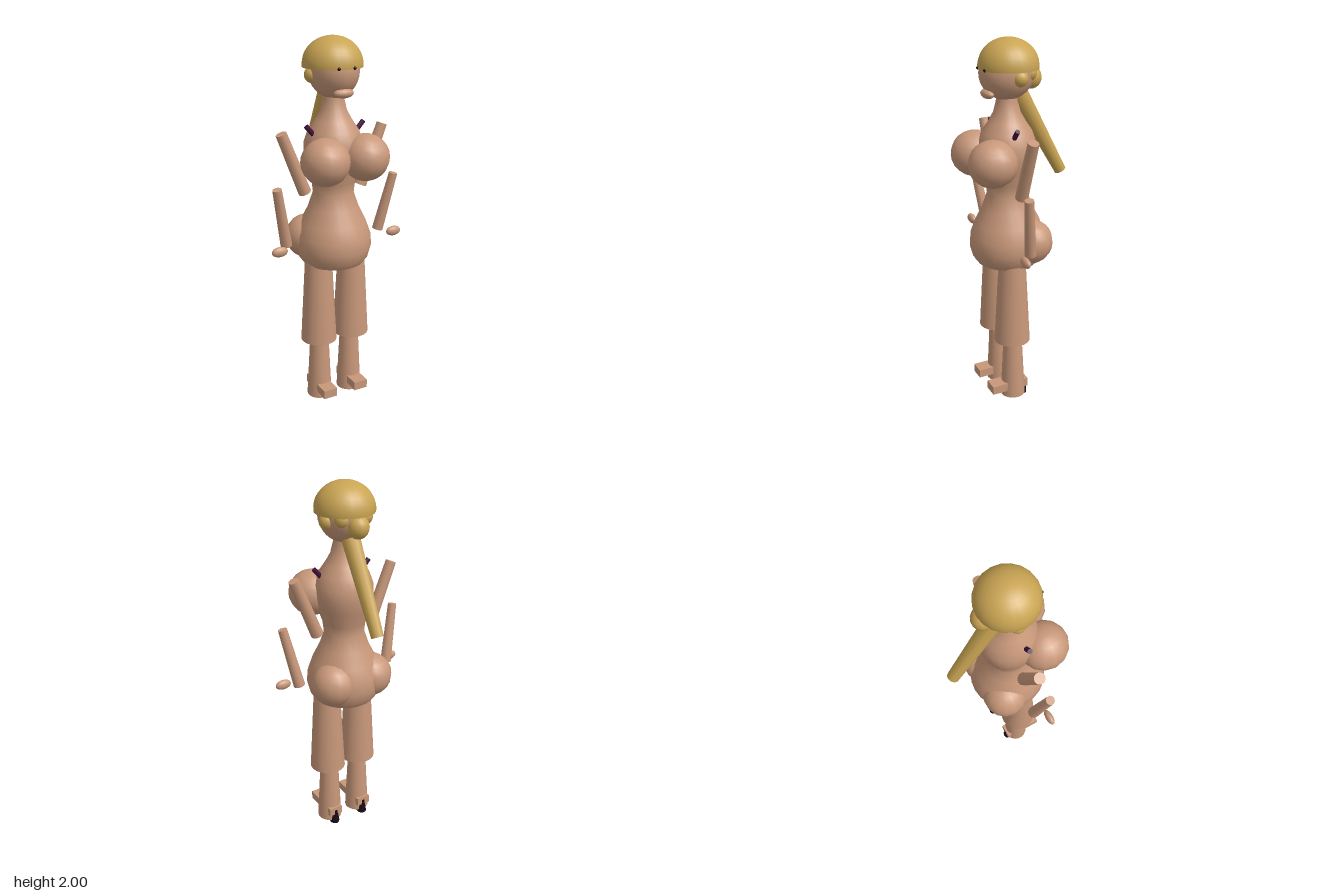
import * as THREE from 'three';

const mat = (color) => new THREE.MeshStandardMaterial({ color });

export function createModel() {
  const model = new THREE.Group();
  const skin = mat(0xc8987a), hair = mat(0xc9a453), purple = mat(0x42103c), dark = mat(0x180a16);

  function add(name, geometry, material) {
    const mesh = new THREE.Mesh(geometry, material);
    mesh.name = name;
    model.add(mesh);
    return mesh;
  }
  function ball(name, [x, y, z], [rx, ry, rz], material, seg = 14, rings = 12) {
    const mesh = add(name, new THREE.SphereGeometry(1, seg, rings), material);
    mesh.position.set(x, y, z);
    mesh.scale.set(rx, ry, rz);
    return mesh;
  }
  // Tapered cylinder running from point a (radius ra) to point b (radius rb)
  function limb(name, a, b, ra, rb, material, seg = 12) {
    const from = new THREE.Vector3(...a), to = new THREE.Vector3(...b);
    const axis = from.clone().sub(to);
    const mesh = add(name, new THREE.CylinderGeometry(ra, rb, axis.length(), seg), material);
    mesh.position.copy(from).add(to).multiplyScalar(0.5);
    mesh.quaternion.setFromUnitVectors(new THREE.Vector3(0, 1, 0), axis.normalize());
    return mesh;
  }

  // Torso from pelvis to neck, turned from one profile
  const profile = [
    [0.165, 0.815], [0.19, 0.85], [0.205, 0.905], [0.2, 0.97], [0.175, 1.04], [0.135, 1.12],
    [0.108, 1.2], [0.115, 1.26], [0.142, 1.34], [0.156, 1.41], [0.153, 1.47], [0.132, 1.53],
    [0.098, 1.58], [0.07, 1.63], [0.055, 1.69], [0.053, 1.76],
  ].map(([r, y]) => new THREE.Vector2(r, y));
  const torso = add('torso', new THREE.LatheGeometry(profile, 24), skin);
  torso.position.z = 0.045;
  const base = add('torsoBase', new THREE.CircleGeometry(0.165, 24), skin);
  base.rotation.x = Math.PI / 2;
  base.position.set(0, 0.815, 0.045);

  // Head, mouth and hair
  ball('head', [0, 1.83, 0.045], [0.128, 0.14, 0.145], skin, 24, 16);
  ball('lips', [0, 1.73, 0.152], [0.055, 0.025, 0.03], skin);
  const cap = add('hairCap', new THREE.SphereGeometry(1, 20, 10, 0, Math.PI * 2, 0, Math.PI * 0.53), hair);
  cap.scale.set(0.156, 0.14, 0.156);
  cap.position.set(0, 1.86, 0.035);
  const capBase = add('hairCapBase', new THREE.CircleGeometry(0.155, 20), hair);
  capBase.rotation.x = Math.PI / 2;
  capBase.position.set(0, 1.847, 0.035);
  ball('backBun', [0, 1.795, -0.09], [0.056, 0.06, 0.056], hair);
  limb('ponytail', [0, 1.75, -0.005], [0, 1.28, -0.272], 0.05, 0.033, hair, 10);

  // Mirrored parts
  for (const s of [1, -1]) {
    const side = s > 0 ? 'left' : 'right';
    ball(side + 'Eye', [s * 0.043, 1.853, 0.182], [0.009, 0.009, 0.009], dark, 8, 6);
    ball(side + 'SideCurl', [s * 0.108, 1.812, 0.024], [0.042, 0.042, 0.042], hair);
    ball(side + 'BackCurl', [s * 0.065, 1.83, -0.045], [0.042, 0.042, 0.042], hair);

    ball(side + 'Chest', [s * 0.115, 1.4, 0.177], [0.126, 0.122, 0.128], skin);
    ball(side + 'Hip', [s * 0.115, 0.945, -0.036], [0.12, 0.12, 0.12], skin);
    limb(side + 'Strap', [s * 0.165, 1.565, 0.065], [s * 0.09, 1.48, 0.065], 0.013, 0.013, purple, 8);

    // Arm
    limb(side + 'UpperArm', [s * 0.293, 1.535, 0.043], [s * 0.165, 1.215, 0.043], 0.029, 0.034, skin, 10);
    limb(side + 'Forearm', [s * 0.343, 1.267, 0.09], [s * 0.278, 0.945, 0.047], 0.024, 0.031, skin, 10);
    ball(side + 'Hand', [s * 0.343, 0.94, 0.108], [0.045, 0.027, 0.02], skin);

    // Leg and shoe
    limb(side + 'Thigh', [s * 0.1, 0.83, 0.065], [s * 0.1, 0.37, 0.066], 0.074, 0.099, skin, 20);
    limb(side + 'Shin', [s * 0.094, 0.4, 0.06], [s * 0.095, 0.015, 0.06], 0.05, 0.069, skin, 18);
    const foot = add(side + 'Foot', new THREE.BoxGeometry(0.08, 0.048, 0.216), skin);
    foot.position.set(s * 0.096, 0.079, 0.092);
    limb(side + 'Heel', [s * 0.095, 0.085, -0.008], [s * 0.095, 0, 0.004], 0.011, 0.029, dark, 10);
  }
  return model;
}
